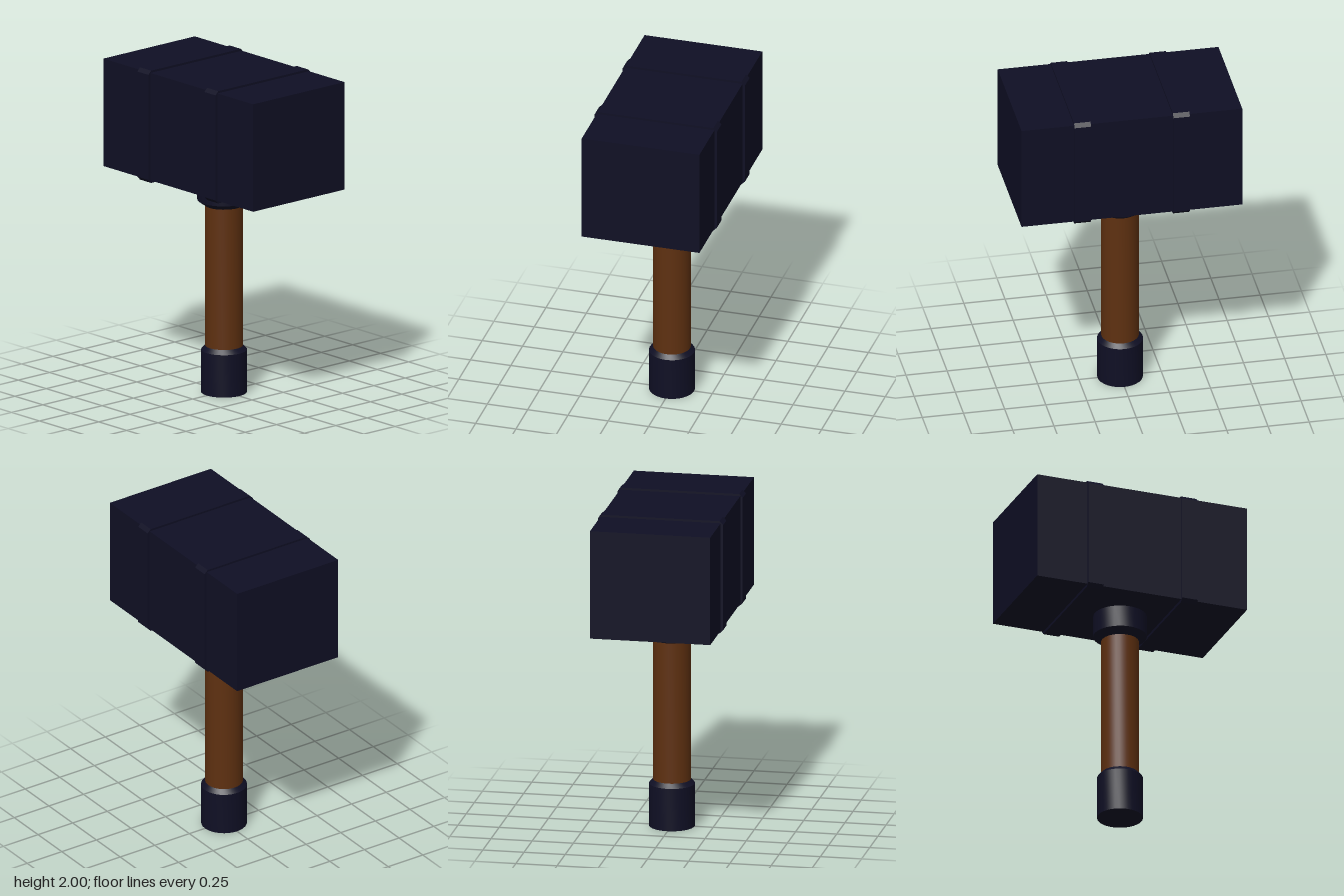
import * as THREE from 'three';
import { toCreasedNormals } from 'three/addons/utils/BufferGeometryUtils.js';

export function createModel() {
  const group = new THREE.Group();
  const iron = new THREE.MeshStandardMaterial({ color: 0x0f0f24 });
  iron.name = 'dark iron';
  const wood = new THREE.MeshStandardMaterial({ color: 0x5e3010 });
  wood.name = 'brown wood';

  const add = (name, geometry, material) => {
    const mesh = new THREE.Mesh(geometry, material);
    mesh.name = name;
    group.add(mesh);
    return mesh;
  };
  // Turned part from [radius, height] points, bottom to top
  const turned = (points) => toCreasedNormals(
    new THREE.LatheGeometry(points.map(([r, y]) => new THREE.Vector2(r, y)), 32), 0.5);

  // Handle, from pommel up into the head
  add('pommel', turned([[0, 0], [0.137, 0], [0.137, 0.262], [0.113, 0.288], [0, 0.288]]), iron);
  add('handle', turned([[0.113, 0.27], [0.113, 1.18]]), wood);
  add('collar', turned([[0, 1.157], [0.115, 1.157], [0.16, 1.19], [0.16, 1.34]]), iron);

  // Hammer head block
  add('head', new THREE.BoxGeometry(1.34, 0.665, 0.73), iron).position.y = 1.655;

  // Chamfered bands wrapped around the head
  const h = 0.3475, d = 0.38, c = 0.022, width = 0.1;
  const outline = new THREE.Shape([
    [d - c, -h], [d, -h + c], [d, h - c], [d - c, h],
    [-d + c, h], [-d, h - c], [-d, -h + c], [-d + c, -h],
  ].map(([z, y]) => new THREE.Vector2(z, y)));
  const bandGeometry = new THREE.ExtrudeGeometry(outline, { depth: width, bevelEnabled: false });
  bandGeometry.translate(0, 0, -width / 2).rotateY(Math.PI / 2);
  for (const [name, x] of [['leftBand', 0.3], ['rightBand', -0.3]]) {
    add(name, bandGeometry, iron).position.set(x, 1.6525, 0);
  }
  return group;
}
